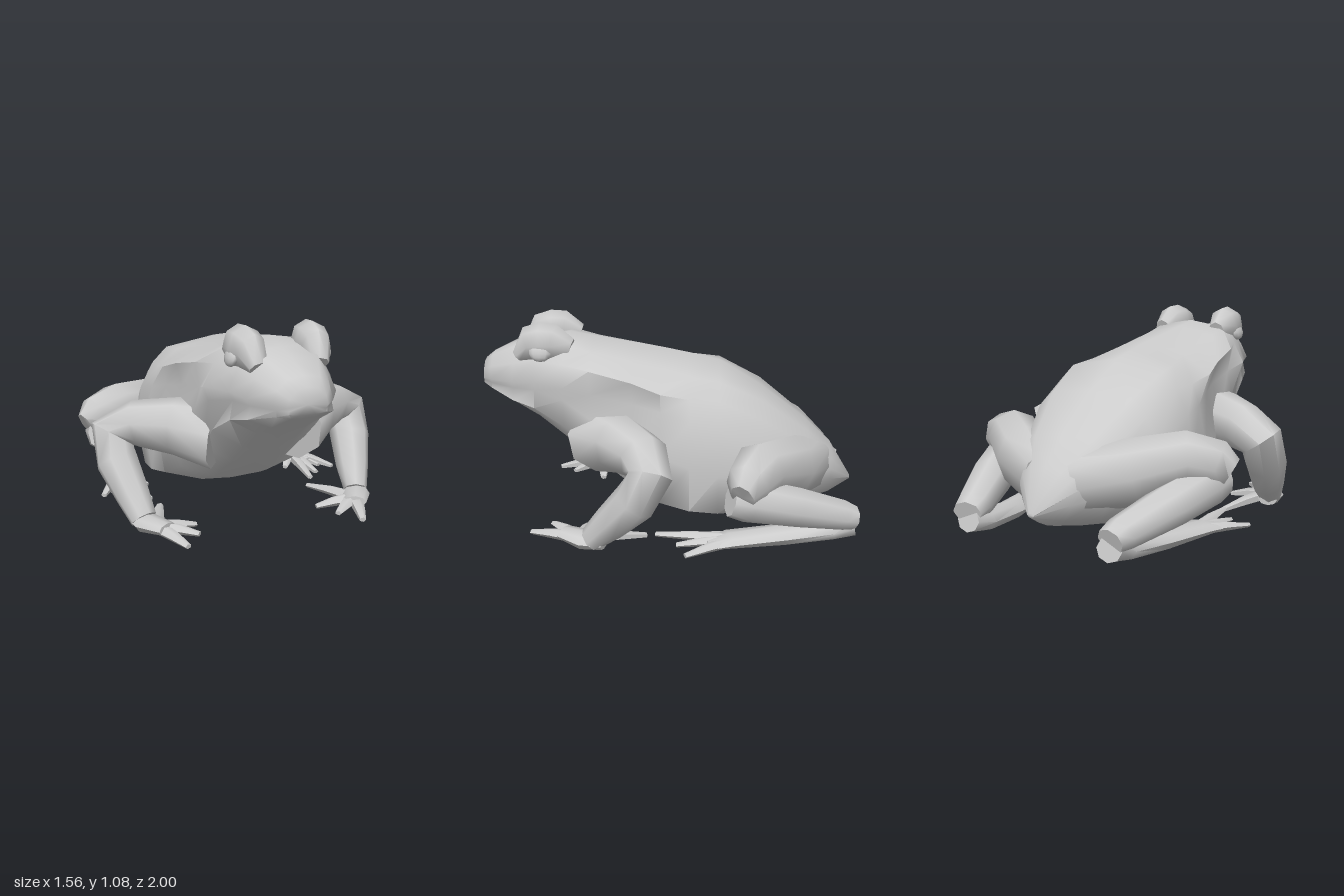
import * as THREE from 'three';
import { toCreasedNormals } from 'three/addons/utils/BufferGeometryUtils.js';

const material = new THREE.MeshStandardMaterial({ color: 0xcccccc });

// Skin a list of rings (arrays of Vector3, counter-clockwise about the travel direction), capped at both ends.
function loft(rings) {
  const n = rings[0].length, pos = [], idx = [];
  rings.flat().forEach(p => pos.push(p.x, p.y, p.z));
  for (let i = 0; i < rings.length - 1; i++) {
    for (let k = 0; k < n; k++) {
      const a = i * n + k, b = i * n + (k + 1) % n;
      idx.push(a, b, a + n, b, b + n, a + n);
    }
  }
  [0, rings.length - 1].forEach((r, end) => {
    const c = new THREE.Vector3();
    rings[r].forEach(p => c.addScaledVector(p, 1 / n));
    const ci = pos.length / 3;
    pos.push(c.x, c.y, c.z);
    for (let k = 0; k < n; k++) {
      const a = r * n + k, b = r * n + (k + 1) % n;
      if (end) idx.push(ci, a, b); else idx.push(ci, b, a);
    }
  });
  const g = new THREE.BufferGeometry();
  g.setAttribute('position', new THREE.Float32BufferAttribute(pos, 3));
  g.setIndex(idx);
  return toCreasedNormals(g, 1.1);
}

// Elliptical limb through stations [x, y, z, half width, half height].
function limb(stations, up = [0, 1, 0], sides = 8) {
  const u = new THREE.Vector3(...up);
  const pts = stations.map(s => new THREE.Vector3(s[0], s[1], s[2]));
  const dir = (i, j) => pts[j].clone().sub(pts[i]).normalize();
  const last = pts.length - 1;
  return loft(pts.map((p, i) => {
    const t = new THREE.Vector3();
    if (i > 0) t.add(dir(i - 1, i));
    if (i < last) t.add(dir(i, i + 1));
    t.normalize();
    const s = u.clone().cross(t).normalize(), n = t.clone().cross(s);
    return Array.from({ length: sides }, (_, k) => {
      const a = (k / sides) * Math.PI * 2;
      return p.clone().addScaledVector(s, Math.cos(a) * stations[i][3])
        .addScaledVector(n, Math.sin(a) * stations[i][4]);
    });
  }));
}

// Reflect a geometry in x and restore its winding.
function mirrored(geometry) {
  const g = geometry.index ? geometry.toNonIndexed() : geometry.clone();
  for (const name of ['position', 'normal']) {
    const a = g.attributes[name];
    for (let i = 0; i < a.count; i += 3) {
      const v = [0, 2, 1].map(k => [-a.getX(i + k), a.getY(i + k), a.getZ(i + k)]);
      v.forEach((p, k) => a.setXYZ(i + k, ...p));
    }
  }
  return g;
}

// Half sections: z, top y, then (x, y) of ridge, cheek, lip, tuck, underside, then bottom y.
const head = [
  [1.00, 0.86, 0.05, 0.85, 0.09, 0.81, 0.10, 0.77, 0.09, 0.755, 0.09, 0.74, 0.73],
  [0.95, 0.90, 0.08, 0.89, 0.13, 0.84, 0.15, 0.775, 0.13, 0.75, 0.13, 0.72, 0.70],
  [0.82, 0.95, 0.13, 0.95, 0.18, 0.87, 0.23, 0.78, 0.205, 0.745, 0.22, 0.68, 0.62],
  [0.70, 0.98, 0.17, 0.99, 0.22, 0.90, 0.27, 0.79, 0.245, 0.745, 0.26, 0.65, 0.55],
  [0.54, 1.01, 0.20, 0.98, 0.28, 0.89, 0.34, 0.78, 0.31, 0.71, 0.29, 0.56, 0.42],
];
const trunk = [
  [0.40, 0.985, 0.21, 0.94, 0.33, 0.87, 0.31, 0.74, 0.34, 0.62, 0.29, 0.43, 0.32],
  [0.18, 0.95, 0.21, 0.90, 0.36, 0.82, 0.33, 0.70, 0.38, 0.52, 0.34, 0.26, 0.165],
  [0.03, 0.925, 0.22, 0.87, 0.39, 0.77, 0.37, 0.67, 0.43, 0.45, 0.39, 0.18, 0.10],
  [-0.12, 0.895, 0.26, 0.83, 0.37, 0.74, 0.41, 0.63, 0.455, 0.40, 0.42, 0.15, 0.07],
  [-0.27, 0.86, 0.28, 0.81, 0.36, 0.73, 0.43, 0.60, 0.46, 0.36, 0.42, 0.14, 0.05],
  [-0.50, 0.72, 0.24, 0.70, 0.33, 0.62, 0.39, 0.48, 0.42, 0.32, 0.36, 0.14, 0.05],
  [-0.74, 0.54, 0.17, 0.52, 0.24, 0.46, 0.28, 0.38, 0.28, 0.28, 0.22, 0.15, 0.09],
  [-0.88, 0.41, 0.09, 0.39, 0.14, 0.35, 0.16, 0.30, 0.15, 0.24, 0.11, 0.16, 0.12],
  [-1.00, 0.21, 0.01, 0.21, 0.015, 0.205, 0.02, 0.20, 0.015, 0.195, 0.01, 0.19, 0.19],
];

function bodyRing([z, top, ...rest]) {
  const bottom = rest.pop(), half = [];
  for (let i = 0; i < rest.length; i += 2) half.push([rest[i], rest[i + 1]]);
  const [lowX, lowY] = half.at(-1);
  half.push([lowX * 0.45, bottom + (lowY - bottom) * 0.15]); // flat belly
  const left = half.map(([x, y]) => new THREE.Vector3(x, y, z));
  const right = half.map(([x, y]) => new THREE.Vector3(-x, y, z)).reverse();
  return [new THREE.Vector3(0, top, z), ...left, new THREE.Vector3(0, bottom, z), ...right];
}

// Tapering toes that fan out from one root.
const toes = (root, tips, r) => tips.map(tip => {
  const m = root.map((v, i) => v * 0.45 + tip[i] * 0.55);
  return limb([[...root, r * 1.4, r], [m[0], m[1] + 0.005, m[2], r, r * 0.8], [...tip, r * 0.55, r * 0.4]], [0, 1, 0], 5);
});

export function createModel() {
  const model = new THREE.Group();
  const add = (name, geometry, parent = model) => {
    const mesh = new THREE.Mesh(geometry, material);
    mesh.name = name;
    parent.add(mesh);
  };

  add('body', loft([...head, ...trunk].map(bodyRing)));

  const parts = {
    // Brow swelling out of the skull, with the eye set in its side
    eyelid: [limb([[0.15, 0.91, 0.79, 0.05, 0.04], [0.165, 0.97, 0.72, 0.075, 0.1],
      [0.17, 0.98, 0.66, 0.09, 0.11], [0.175, 0.98, 0.60, 0.085, 0.105], [0.18, 0.95, 0.51, 0.05, 0.06]])],
    eye: [new THREE.SphereGeometry(1, 10, 7).scale(0.03, 0.05, 0.06).rotateZ(0.35).translate(0.235, 0.945, 0.66)],
    // Front leg: broad shoulder, elbow, wrist
    frontLeg: [limb([[0.2, 0.47, 0.36, 0.18, 0.2], [0.38, 0.5, 0.23, 0.15, 0.155], [0.56, 0.495, 0.1, 0.125, 0.13],
      [0.68, 0.44, 0.065, 0.125, 0.115], [0.675, 0.31, 0.14, 0.11, 0.11],
      [0.63, 0.17, 0.27, 0.09, 0.09], [0.6, 0.07, 0.37, 0.07, 0.06]], [0.5, 0.3, 1])],
    frontHand: [limb([[0.62, 0.055, 0.3, 0.05, 0.03], [0.59, 0.06, 0.4, 0.075, 0.045], [0.52, 0.065, 0.52, 0.06, 0.03]])],
    frontToe: toes([0.56, 0.055, 0.44], [[0.47, 0.04, 0.7], [0.38, 0.05, 0.6],
      [0.34, 0.025, 0.42], [0.44, 0.02, 0.1]], 0.032),
    // Hind leg folded into thigh, shank and long foot
    thigh: [limb([[0.1, 0.31, -0.8, 0.09, 0.14], [0.32, 0.37, -0.64, 0.15, 0.17],
      [0.53, 0.43, -0.47, 0.145, 0.14], [0.66, 0.4, -0.41, 0.11, 0.13], [0.72, 0.36, -0.385, 0.06, 0.09]])],
    shank: [limb([[0.67, 0.33, -0.33, 0.06, 0.09], [0.63, 0.31, -0.42, 0.1, 0.115], [0.54, 0.24, -0.65, 0.115, 0.105],
      [0.44, 0.16, -0.9, 0.095, 0.08], [0.425, 0.14, -0.97, 0.08, 0.06]])],
    hindFoot: [limb([[0.42, 0.1, -0.97, 0.07, 0.06], [0.42, 0.075, -0.86, 0.08, 0.055],
      [0.47, 0.055, -0.6, 0.075, 0.05], [0.54, 0.055, -0.33, 0.085, 0.035], [0.58, 0.045, -0.22, 0.07, 0.015]])],
    hindToe: toes([0.54, 0.055, -0.38], [[0.7, 0.035, -0.11], [0.64, 0.03, -0.17],
      [0.57, 0.03, -0.06], [0.48, 0.045, 0.05], [0.43, 0.03, -0.2]], 0.03),
  };

  for (const [name, geometries] of Object.entries(parts)) {
    for (const side of ['left', 'right']) {
      const group = new THREE.Group();
      group.name = side + name[0].toUpperCase() + name.slice(1);
      geometries.forEach(g => add(name, side === 'left' ? g : mirrored(g), group));
      model.add(group);
    }
  }
  return model;
}
